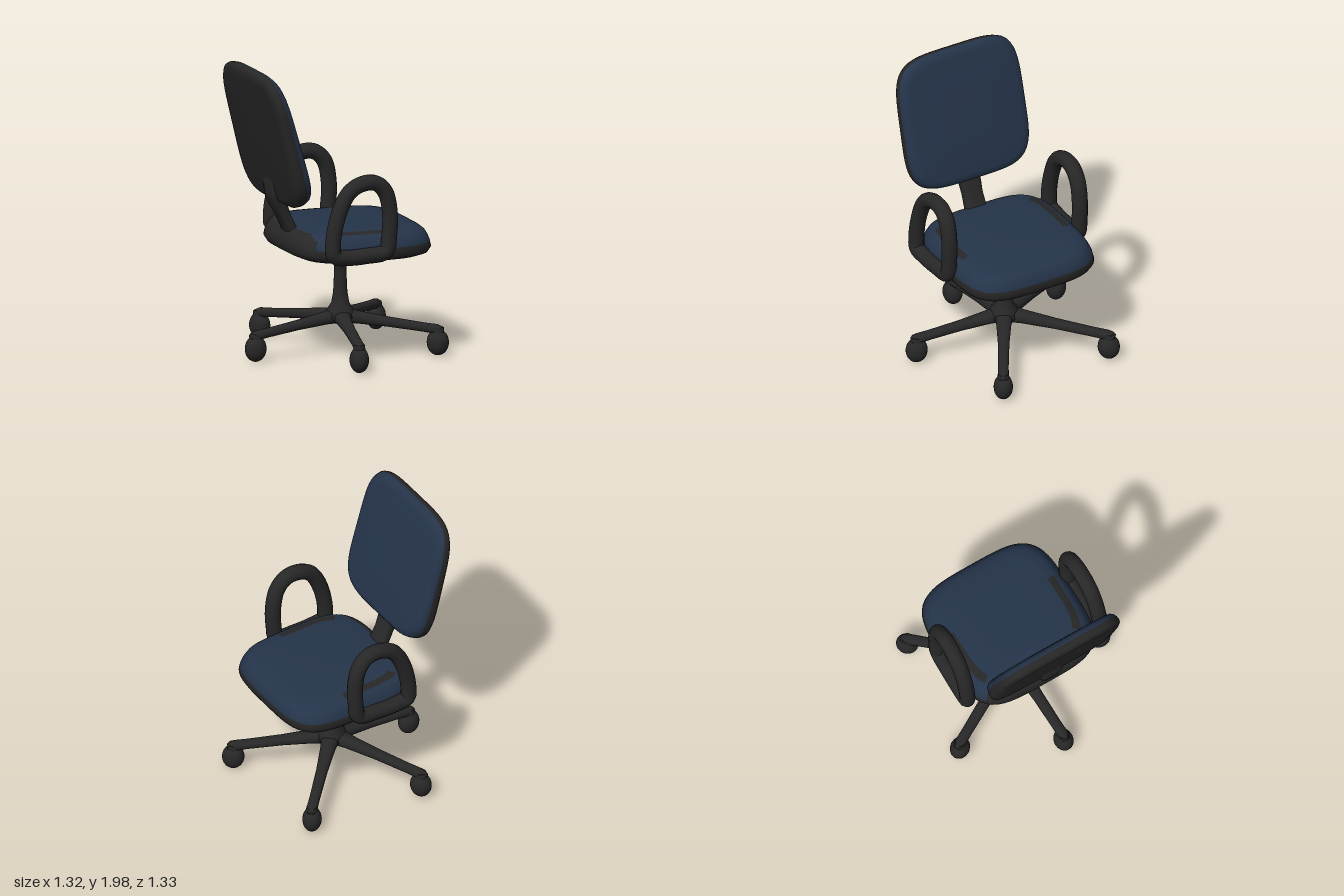
import * as THREE from 'three';

const black = new THREE.MeshStandardMaterial({ color: 0x272727 });
black.name = 'black plastic';
const navy = new THREE.MeshStandardMaterial({ color: 0x25344a });
navy.name = 'navy fabric';

// Horizontal superellipse section, evenly spread by angle (n = 2 is an ellipse)
function section(y, cx, hx, hz, n = 2, segs = 24) {
  return Array.from({ length: segs }, (_, i) => {
    const a = (i / segs) * Math.PI * 2, c = Math.cos(a), s = Math.sin(a);
    const r = Math.pow(Math.abs(c) ** n + Math.abs(s) ** n, -1 / n);
    return new THREE.Vector3(cx + hx * r * s, y, hz * r * c);
  });
}

// Capped skin over sections, stacked upward; isNavy sorts faces into two groups
function loft(rings, isNavy = () => false) {
  const n = rings[0].length, pts = rings.flat(), faces = [[], []];
  const middle = (ring) => ring.reduce((m, p) => m.add(p), new THREE.Vector3()).divideScalar(n);
  pts.push(middle(rings[0]), middle(rings[rings.length - 1]));
  const put = (level, centre, ...ids) => faces[isNavy(level, centre) ? 1 : 0].push(...ids);
  const last = rings.length - 1;
  for (let j = 0; j < n; j++) {
    const k = (j + 1) % n;
    put(-1, pts[j], pts.length - 2, k, j);
    put(last, pts[last * n + j].clone().lerp(pts[pts.length - 1], 0.5), pts.length - 1, last * n + j, last * n + k);
    for (let i = 0; i < last; i++) {
      const a = i * n + j, b = i * n + k, c = b + n, d = a + n;
      const centre = middle([pts[a], pts[b], pts[c], pts[d]]).multiplyScalar(n / 4);
      put(i, centre, a, b, c, a, c, d);
    }
  }
  const geo = new THREE.BufferGeometry().setFromPoints(pts);
  geo.setIndex(faces.flat());
  geo.addGroup(0, faces[0].length, 0);
  geo.addGroup(faces[0].length, faces[1].length, 1);
  geo.computeVertexNormals();
  return geo;
}

function add(parent, name, geo, material = black) {
  const mesh = new THREE.Mesh(geo, material);
  mesh.name = name;
  parent.add(mesh);
  return mesh;
}

export function createModel() {
  const chair = new THREE.Group();
  chair.name = 'officeChair';

  // Seat: black shell below, navy cushion above (profile of scale, height)
  const seatProfile = [
    [0.3, 0.69], [0.6, 0.695], [0.85, 0.712], [0.96, 0.735], [1, 0.77], [0.985, 0.808],
    [0.965, 0.835], [0.93, 0.868], [0.89, 0.885], [0.84, 0.897], [0.74, 0.907], [0.5, 0.915], [0.2, 0.917],
  ];
  const seatRings = seatProfile.map(([s, y]) => section(y, 0.085, 0.485 * s, 0.49 * s, 4, 96));
  seatRings.flat().forEach((p) => { p.y -= 0.02 * p.x; });
  add(chair, 'seat', loft(seatRings, (level, p) => {
    const besideArm = level === 9 && Math.abs(p.z) > 0.34 && p.x > -0.26 && p.x < 0.2;
    return level >= 5 && p.x > -0.3 && !besideArm;
  }), [black, navy]);

  // Backrest: same pillow idea, thicker toward the bottom, leaning back
  const backProfile = [
    [0.4, -0.066], [0.86, -0.064], [0.95, -0.056], [0.99, -0.038], [1, -0.012], [0.99, 0.012],
    [0.97, 0.036], [0.93, 0.052], [0.86, 0.061], [0.4, 0.067],
  ];
  const backRings = backProfile.map(([s, y]) => section(y, 0, 0.47 * s, 0.465 * s, 4.5, 96));
  backRings.flat().forEach((p) => { p.y *= 1 + 0.45 * p.x; });
  const back = add(chair, 'backrest', loft(backRings, (level) => level >= 5), [black, navy]);
  back.position.set(-0.495, 1.54, 0);
  back.rotation.z = THREE.MathUtils.degToRad(-75);

  // Spine joining seat and backrest
  add(chair, 'backSpine', loft([
    section(0.78, -0.27, 0.06, 0.085, 4), section(0.87, -0.325, 0.042, 0.075, 4),
    section(0.98, -0.378, 0.04, 0.07, 4), section(1.08, -0.425, 0.055, 0.075, 4),
    section(1.14, -0.44, 0.05, 0.09, 4), section(1.25, -0.46, 0.03, 0.09, 4),
  ]));

  // Armrest loops
  const loop = [
    [-0.23, 0.79], [-0.24, 0.88], [-0.2, 1.07], [-0.125, 1.21], [-0.03, 1.262], [0.07, 1.258],
    [0.14, 1.19], [0.172, 1.05], [0.168, 0.9], [0.145, 0.79], [0, 0.772], [-0.13, 0.772],
  ];
  for (const side of [1, -1]) {
    const path = new THREE.CatmullRomCurve3(
      loop.map(([x, y]) => new THREE.Vector3(x, y, side * (0.503 - 0.02 * x))), true);
    add(chair, side > 0 ? 'frontArmrest' : 'rearArmrest', new THREE.TubeGeometry(path, 72, 0.053, 14, true));
  }

  // Column flaring into the hub and the seat underside
  const column = [
    [0, 0.215], [0.07, 0.222], [0.105, 0.255], [0.09, 0.3], [0.06, 0.345], [0.047, 0.42],
    [0.041, 0.55], [0.043, 0.63], [0.075, 0.662], [0.13, 0.685], [0.24, 0.715],
  ].map(([r, y]) => new THREE.Vector2(r, y));
  add(chair, 'column', new THREE.LatheGeometry(column, 32)).position.x = 0.035;

  // Five legs with casters, given by where each caster stands
  const casters = [[-0.585, 0.025], [-0.285, -0.59], [0.52, -0.515], [0.59, 0.335], [-0.09, 0.595]];
  for (const [x, z] of casters) {
    const leg = new THREE.Group();
    leg.name = 'legWithCaster';
    leg.position.x = 0.035;
    const reach = Math.hypot(x - 0.035, z);
    leg.rotation.y = Math.atan2(-z, x - 0.035);
    // share of reach, height, half height, half width
    const bar = [
      [0, 0.265, 0.05, 0.07], [0.18, 0.252, 0.042, 0.05], [0.5, 0.226, 0.033, 0.038],
      [0.85, 0.197, 0.03, 0.035], [1, 0.185, 0.032, 0.036], [1.06, 0.18, 0.018, 0.022],
    ].map(([d, h, hy, hz]) => section(d * reach, -h, hy, hz, 2.4));
    add(leg, 'leg', loft(bar)).rotation.z = -Math.PI / 2;
    add(leg, 'casterStem', new THREE.CylinderGeometry(0.036, 0.05, 0.08, 16)).position.set(reach, 0.16, 0);
    const wheel = add(leg, 'caster', new THREE.SphereGeometry(1, 24, 16));
    wheel.scale.set(0.074, 0.088, 0.064);
    wheel.position.set(reach, 0.098, 0);
    chair.add(leg);
  }
  return chair;
}
